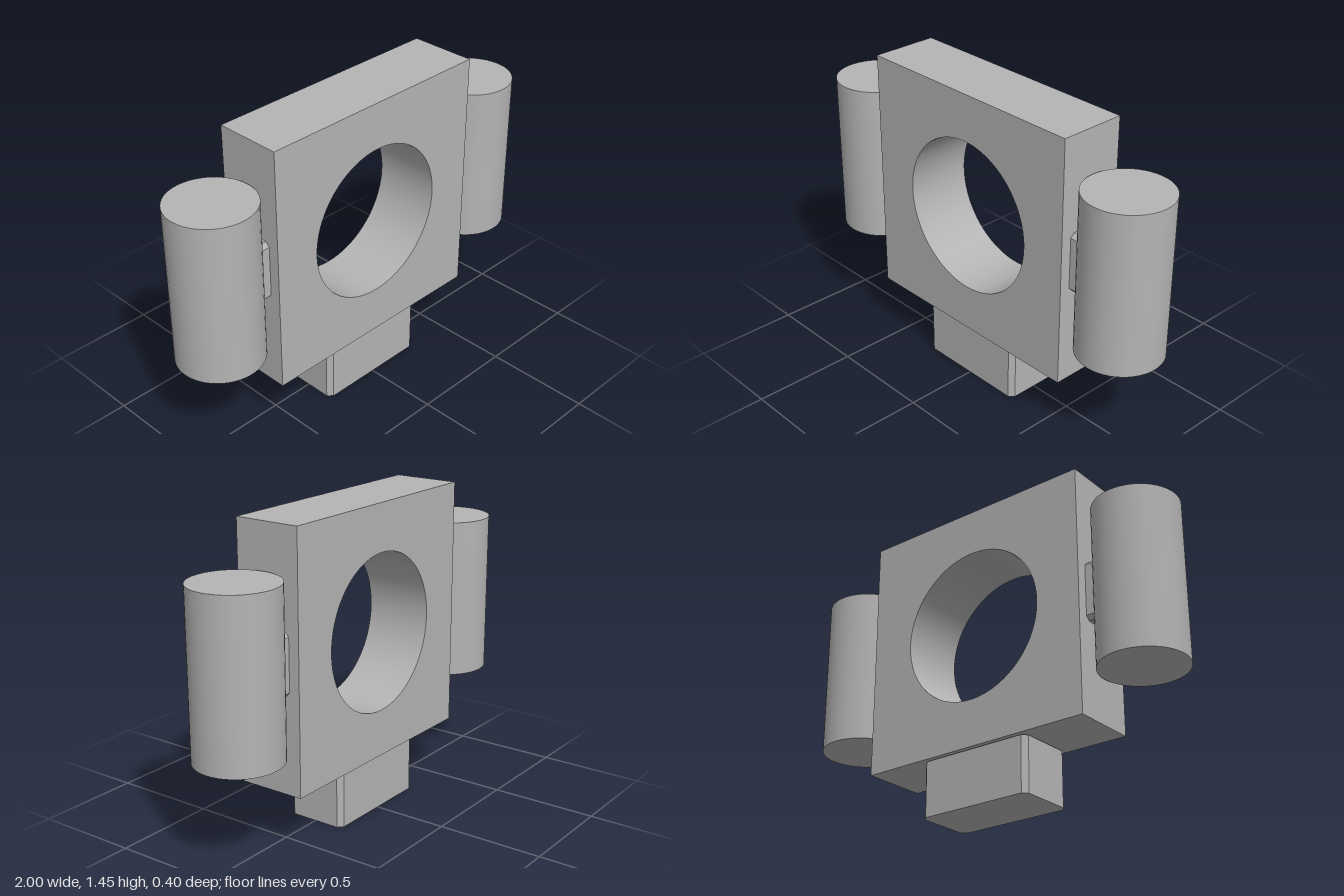
import * as THREE from 'three';
import { toCreasedNormals } from 'three/addons/utils/BufferGeometryUtils.js';

// Bar along z with its four long edges chamfered, centred on the origin
function chamferedBar(w, h, length, c) {
  const x = w / 2, y = h / 2;
  const outline = [
    [x - c, -y], [x, -y + c], [x, y - c], [x - c, y],
    [-x + c, y], [-x, y - c], [-x, -y + c], [-x + c, -y],
  ].map(([a, b]) => new THREE.Vector2(a, b));
  const geo = new THREE.ExtrudeGeometry(new THREE.Shape(outline), { depth: length, bevelEnabled: false });
  return geo.translate(0, 0, -length / 2);
}

export function createModel() {
  const group = new THREE.Group();
  const grey = new THREE.MeshStandardMaterial({ color: 0xb4b4b4 });
  grey.name = 'grey';

  function add(name, geometry, x, y, z) {
    const mesh = new THREE.Mesh(geometry, grey);
    mesh.name = name;
    mesh.position.set(x, y, z);
    group.add(mesh);
  }

  // Square plate with a round through-hole
  const half = 0.593, depth = 0.32;
  const square = new THREE.Shape([
    new THREE.Vector2(-half, -half), new THREE.Vector2(half, -half),
    new THREE.Vector2(half, half), new THREE.Vector2(-half, half),
  ]);
  const hole = new THREE.Path();
  hole.absarc(0, 0, 0.37, 0, Math.PI * 2, true);
  square.holes.push(hole);
  const plate = new THREE.ExtrudeGeometry(square, { depth, bevelEnabled: false, curveSegments: 48 });
  plate.translate(0, 0, -depth / 2);
  add('plate', toCreasedNormals(plate, Math.PI / 6), 0, 0.858, 0);

  // Foot block with chamfered upright edges
  add('foot', chamferedBar(0.574, 0.29, 0.26, 0.023).rotateX(Math.PI / 2), 0, 0.13, 0);

  // Side cylinders and the connectors that join them to the plate
  for (const [side, s] of [['left', 1], ['right', -1]]) {
    add(side + 'Cylinder', new THREE.CylinderGeometry(0.2, 0.2, 0.768, 48), s * 0.8, 0.857, 0);
    add(side + 'Connector', chamferedBar(0.22, 0.285, 0.09, 0.02).rotateY(Math.PI / 2), s * 0.64, 0.857, 0);
  }
  return group;
}
